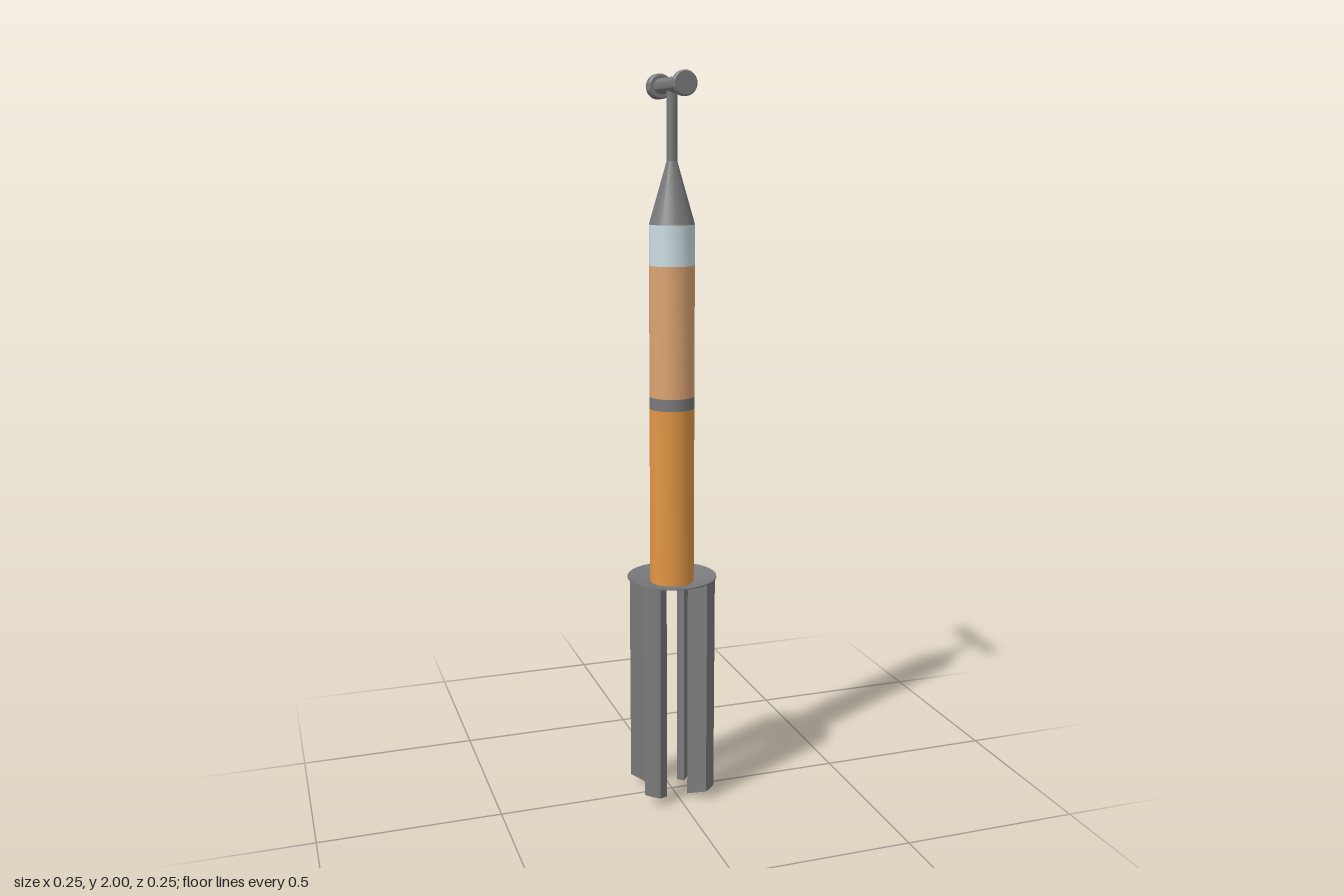
import * as THREE from 'three';
import { toCreasedNormals } from 'three/addons/utils/BufferGeometryUtils.js';

const material = (name, color) => {
  const m = new THREE.MeshStandardMaterial({ color });
  m.name = name;
  return m;
};

// Turned part: profile of [radius, height] pairs from bottom to top, with crisp edges
const turned = (name, profile, mat) => {
  const points = profile.map(([r, y]) => new THREE.Vector2(r, y));
  const geometry = toCreasedNormals(new THREE.LatheGeometry(points, 32), 0.4);
  const mesh = new THREE.Mesh(geometry, mat);
  mesh.name = name;
  return mesh;
};

// Wedge-shaped leg along +x: a ring sector, slanted at the foot and fitted to the dish on top
function legGeometry(inner, outer, halfAngle) {
  const shape = new THREE.Shape();
  shape.absarc(0, 0, outer, -halfAngle, halfAngle, false);
  shape.absarc(0, 0, inner, halfAngle, -halfAngle, true);
  shape.closePath();
  const geometry = new THREE.ExtrudeGeometry(shape, { depth: 1, bevelEnabled: false, curveSegments: 4 });
  geometry.rotateX(-Math.PI / 2);
  const p = geometry.attributes.position;
  for (let i = 0; i < p.count; i++) {
    const t = (Math.hypot(p.getX(i), p.getZ(i)) - inner) / (outer - inner);
    p.setY(i, p.getY(i) > 0.5 ? 0.623 + 0.019 * t : 0.027 * t);
  }
  geometry.computeVertexNormals();
  return geometry;
}

export function createModel() {
  const model = new THREE.Group();
  model.name = 'model';
  const grey = material('steel grey', 0x7a7a7a);
  const orange = material('orange', 0xe29645);
  const tan = material('tan', 0xdca472);
  const pale = material('pale blue', 0xcbdde3);

  // Four legs on the diagonals
  const leg = legGeometry(0.056, 0.123, 0.205);
  for (let i = 0; i < 4; i++) {
    const mesh = new THREE.Mesh(leg, grey);
    mesh.name = 'leg';
    mesh.rotation.y = Math.PI / 4 + i * Math.PI / 2;
    model.add(mesh);
  }

  // Shallow dish joining the legs
  model.add(turned('dish', [
    [0, 0.62], [0.05, 0.62], [0.124, 0.641], [0.124, 0.645], [0.055, 0.63],
  ], grey));

  // Banded column
  const R = 0.061;
  const bands = [
    ['lowerColumn', 0.625, 1.12, orange],
    ['middleBand', 1.12, 1.153, grey],
    ['upperColumn', 1.153, 1.505, tan],
    ['collar', 1.505, 1.612, pale],
  ];
  for (const [name, y0, y1, mat] of bands) model.add(turned(name, [[R, y0], [R, y1]], mat));

  // Tapered shoulder and stem
  model.add(turned('shoulder', [[R, 1.612], [0.014, 1.775]], grey));
  model.add(turned('stem', [[0.014, 1.775], [0.014, 1.96]], grey));

  // Crossbar with a knob at each end, turned upright then laid along z
  const bar = new THREE.Group();
  bar.name = 'crossbar';
  bar.position.y = 1.967;
  bar.rotation.x = Math.PI / 2;
  bar.add(
    turned('bar', [[0.02, -0.1], [0.02, 0.095]], grey),
    turned('backKnob', [
      [0, -0.125], [0.029, -0.125], [0.033, -0.121], [0.033, -0.098], [0.029, -0.093], [0, -0.093],
    ], grey),
    turned('frontKnob', [
      [0, 0.091], [0.029, 0.091], [0.032, 0.094], [0.032, 0.107], [0.029, 0.11], [0, 0.11],
    ], grey),
  );
  model.add(bar);

  return model;
}
